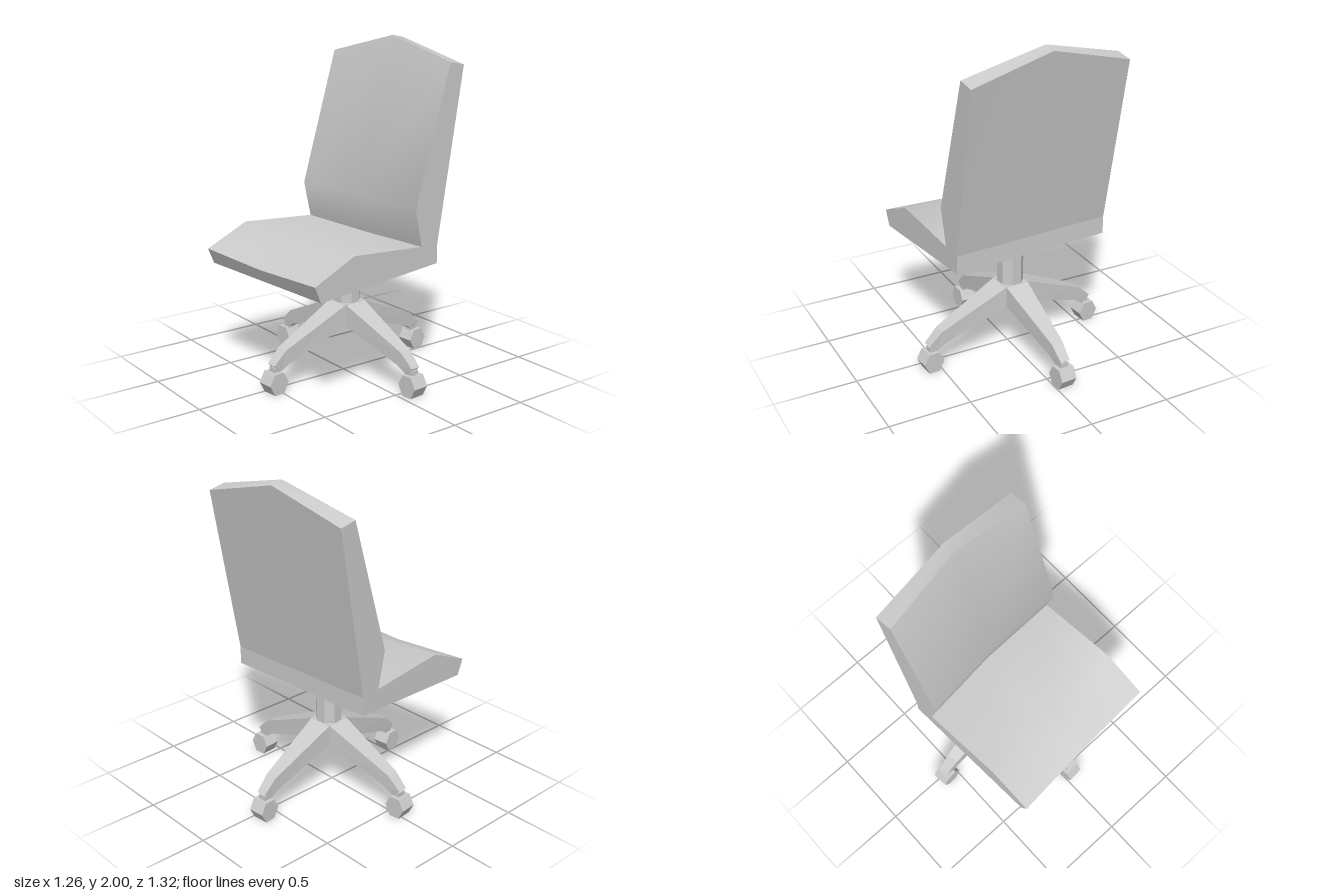
import * as THREE from 'three';
import { toCreasedNormals } from 'three/addons/utils/BufferGeometryUtils.js';

// Skins a row of equal-length rings (running along +x) and caps both ends.
function loft(rings) {
  const pos = [];
  const tri = (a, b, c) => pos.push(...a, ...b, ...c);
  const n = rings[0].length;
  for (let r = 0; r < rings.length - 1; r++) {
    for (let i = 0; i < n; i++) {
      const j = (i + 1) % n;
      const a = rings[r][i], b = rings[r][j], c = rings[r + 1][j], d = rings[r + 1][i];
      tri(a, d, c);
      tri(a, c, b);
    }
  }
  const last = rings[rings.length - 1];
  for (let i = 1; i < n - 1; i++) {
    tri(rings[0][0], rings[0][i], rings[0][i + 1]);
    tri(last[0], last[i + 1], last[i]);
  }
  const g = new THREE.BufferGeometry();
  g.setAttribute('position', new THREE.Float32BufferAttribute(pos, 3));
  g.computeVertexNormals();
  return g;
}

// Cushion: side profile points [z, y, centre dz, centre dy] lofted across three stations.
function cushion(profile, halfWidth) {
  const ring = (x, k) => profile.map(([z, y, dz, dy]) => [x, y + dy * k, z + dz * k]);
  return toCreasedNormals(loft([ring(-halfWidth, 0), ring(0, 1), ring(halfWidth, 0)]), 0.75);
}

export function createModel() {
  const model = new THREE.Group();
  model.name = 'swivelChair';
  const smooth = new THREE.MeshStandardMaterial({ color: 0xcccccc });
  const flat = new THREE.MeshStandardMaterial({ color: 0xcccccc, flatShading: true });
  const add = (parent, name, geometry, material, x = 0, y = 0, z = 0) => {
    const mesh = new THREE.Mesh(geometry, material);
    mesh.name = name;
    mesh.position.set(x, y, z);
    parent.add(mesh);
    return mesh;
  };

  // Upper chair, swivelled slightly
  const upper = new THREE.Group();
  upper.name = 'seatAndBack';
  upper.rotation.y = 0.068;
  model.add(upper);

  add(upper, 'seat', cushion([
    [0.585, 0.675, 0, 0],
    [0.625, 0.77, -0.01, -0.02],
    [0.35, 0.89, -0.01, -0.02],
    [-0.155, 0.85, -0.025, -0.015],
    [-0.28, 0.84, 0, 0],
    [-0.28, 0.73, 0, 0],
  ], 0.5), smooth);

  // Backrest with a lumbar bend and a peaked top
  add(upper, 'backrest', cushion([
    [-0.155, 0.85, -0.025, -0.015],
    [-0.105, 1.07, -0.025, 0],
    [-0.357, 1.88, -0.027, 0.12],
    [-0.465, 1.86, 0, 0.125],
    [-0.28, 0.84, 0, 0],
  ], 0.5), smooth);

  // Base with column, hub, four legs and casters
  const base = new THREE.Group();
  base.name = 'base';
  base.position.set(-0.004, 0, -0.03);
  base.rotation.y = 0.087;
  model.add(base);

  const column = add(base, 'column', new THREE.CylinderGeometry(0.08, 0.08, 0.32, 8), flat, 0, 0.57, 0);
  column.rotation.y = Math.PI / 8;
  add(base, 'hub', new THREE.BoxGeometry(0.15, 0.13, 0.15), flat, 0, 0.375, 0);

  // Leg sections: [top x, top y, bottom x, bottom y, half width]
  const legGeometry = loft([
    [0.07, 0.44, 0.07, 0.31, 0.075],
    [0.5, 0.25, 0.475, 0.165, 0.037],
    [0.585, 0.17, 0.535, 0.127, 0.03],
  ].map(([tx, ty, bx, by, w]) => [[bx, by, w], [tx, ty, w], [tx, ty, -w], [bx, by, -w]]));
  const stemGeometry = new THREE.BoxGeometry(0.05, 0.06, 0.05);
  // Six-sided wheel lying along z with flats at top and bottom
  const wheelGeometry = new THREE.CylinderGeometry(0.073, 0.073, 0.1, 6)
    .rotateY(Math.PI / 6).rotateX(Math.PI / 2);
  wheelGeometry.computeBoundingBox();
  const size = wheelGeometry.boundingBox.getSize(new THREE.Vector3());
  if (size.y > size.x) wheelGeometry.rotateZ(Math.PI / 6);
  wheelGeometry.scale(0.9, 1, 1);

  for (let i = 0; i < 4; i++) {
    const arm = new THREE.Group();
    arm.name = 'legAssembly' + (i + 1);
    arm.rotation.y = i * Math.PI / 2;
    add(arm, 'leg', legGeometry, flat);
    add(arm, 'casterStem', stemGeometry, flat, 0.553, 0.125, 0);
    add(arm, 'casterWheel', wheelGeometry, flat, 0.564, 0.0632, 0);
    base.add(arm);
  }
  return model;
}
